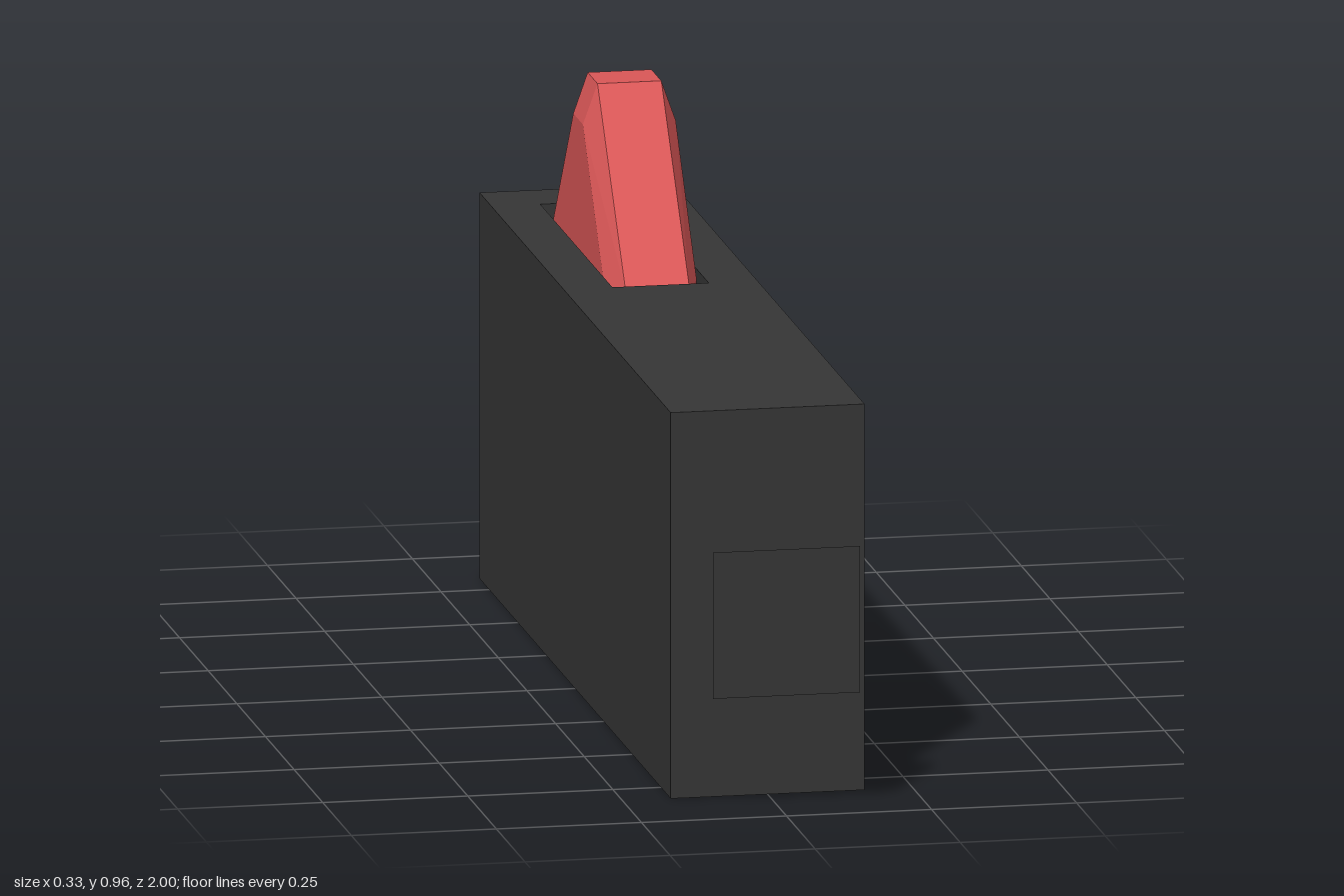
import * as THREE from 'three';
import { ConvexGeometry } from 'three/addons/geometries/ConvexGeometry.js';

// Rectangle outline, traced either way round
function rect(path, x0, y0, x1, y1) {
  path.moveTo(x0, y0);
  path.lineTo(x1, y0);
  path.lineTo(x1, y1);
  path.lineTo(x0, y1);
  path.closePath();
  return path;
}

export function createModel() {
  const group = new THREE.Group();
  const dark = new THREE.MeshStandardMaterial({ color: 0x363636, flatShading: true });
  const red = new THREE.MeshStandardMaterial({ color: 0xdc5858, flatShading: true });

  const add = (name, geometry, material, parent = group) => {
    const mesh = new THREE.Mesh(geometry, material);
    mesh.name = name;
    parent.add(mesh);
    return mesh;
  };

  // Housing with a slot cut from top to bottom near the back
  const outline = rect(new THREE.Shape(), -0.167, -0.835, 0.167, 0.835);
  outline.holes.push(rect(new THREE.Path(), -0.083, 0.1, 0.083, 0.73));
  const housing = new THREE.ExtrudeGeometry(outline, { depth: 0.67, bevelEnabled: false });
  housing.rotateX(-Math.PI / 2);
  add('housing', housing, dark);

  // Lever: wedge with chamfered edges, reaching down into the slot
  const points = [];
  const profile = [
    // half width, y, half length
    [0.055, 0.5, 0.29], [0.08, 0.5, 0.225],
    [0.055, 0.655, 0.29], [0.08, 0.655, 0.225],
    [0.08, 0.89, 0.042], [0.055, 0.96, 0.043],
  ];
  for (const [x, y, z] of profile)
    for (const sx of [-1, 1])
      for (const sz of [-1, 1]) points.push(new THREE.Vector3(sx * x, y, sz * z));
  add('lever', new ConvexGeometry(points), red).position.z = -0.415;

  // Square plugs at both ends: a straight neck and a flared head
  const squarePrism = (halfEnd, halfStart, z0, z1) => {
    const g = new THREE.CylinderGeometry(halfEnd * Math.SQRT2, halfStart * Math.SQRT2, z1 - z0, 4);
    return g.rotateY(Math.PI / 4).rotateX(Math.PI / 2).translate(0, 0, (z0 + z1) / 2);
  };
  for (const [name, turn] of [['frontPlug', 0], ['backPlug', Math.PI]]) {
    const plug = new THREE.Group();
    plug.name = name;
    plug.position.y = 0.336;
    plug.rotation.y = turn;
    add('plugNeck', squarePrism(0.083, 0.083, 0.835, 0.917), dark, plug);
    add('plugHead', squarePrism(0.127, 0.083, 0.917, 1), dark, plug);
    group.add(plug);
  }

  return group;
}
